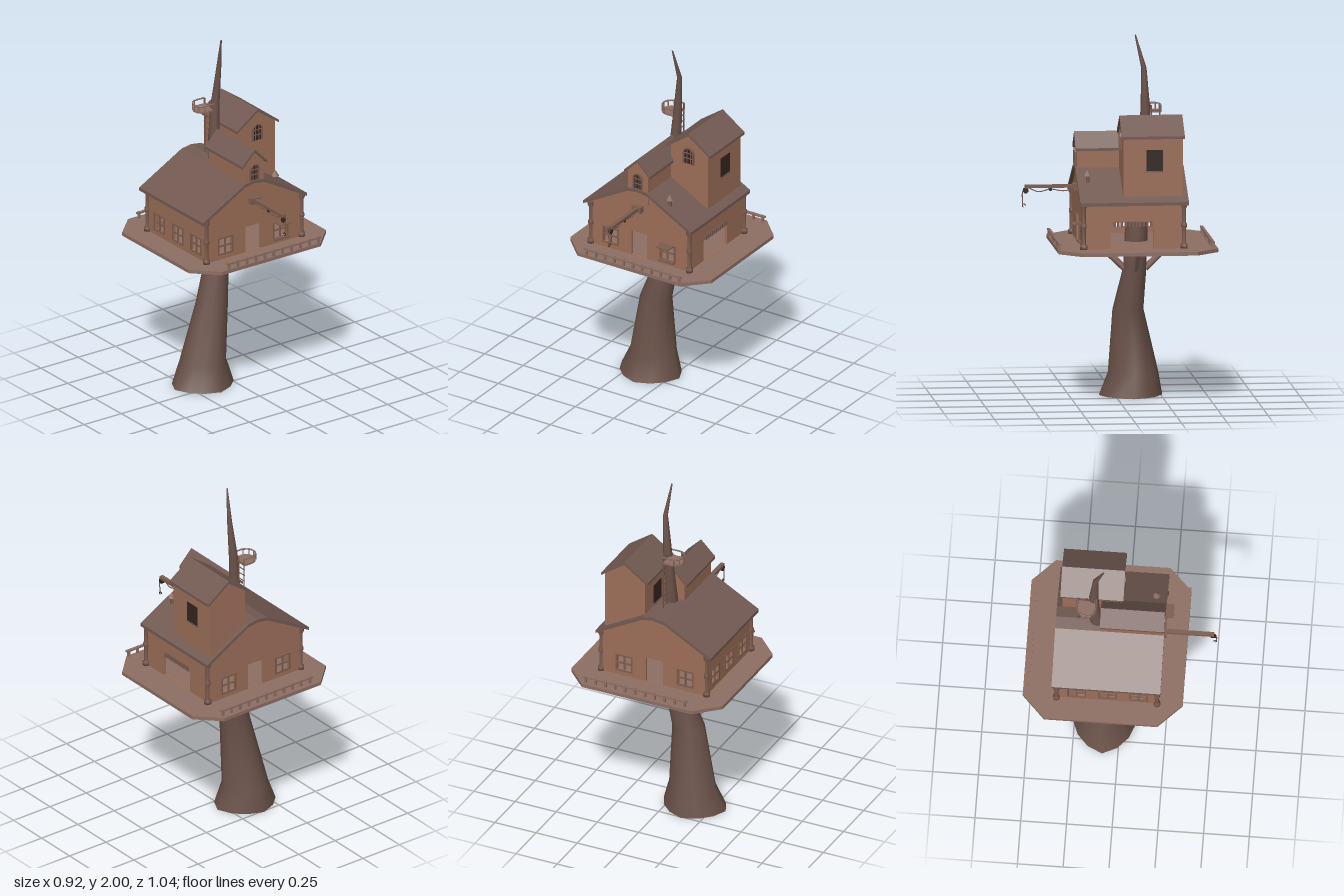
import * as THREE from 'three';
import { toCreasedNormals } from 'three/addons/utils/BufferGeometryUtils.js';

const mat = (color) => new THREE.MeshStandardMaterial({ color, side: THREE.DoubleSide });
const WALL = mat(0x9c6f58), DECK = mat(0x8d6e63), ROOF = mat(0x725a52);
const BARK = mat(0x6a5249), TRIM = mat(0x7d5c4e), DARK = mat(0x33241f);
const V = (x, y, z) => new THREE.Vector3(x, y, z);

function add(parent, name, geo, material, x = 0, y = 0, z = 0) {
  const m = new THREE.Mesh(geo, material);
  m.name = name;
  m.position.set(x, y, z);
  parent.add(m);
  return m;
}
function group(parent, name) {
  const g = new THREE.Group();
  g.name = name;
  parent.add(g);
  return g;
}
// Box given by its min and max on each axis
const box = (p, name, m, x0, x1, y0, y1, z0, z1) =>
  add(p, name, new THREE.BoxGeometry(x1 - x0, y1 - y0, z1 - z0), m, (x0 + x1) / 2, (y0 + y1) / 2, (z0 + z1) / 2);
const poly = (pts) => new THREE.Shape(pts.map((p) => new THREE.Vector2(...p)));
const rectPts = (x0, x1, y0, y1) => [[x0, y0], [x1, y0], [x1, y1], [x0, y1]];
const extrude = (shape, depth) => new THREE.ExtrudeGeometry(shape, { depth, bevelEnabled: false, curveSegments: 8 });
// Square beam or round pole between two points
function beam(p, name, m, a, b, r, sides = 4) {
  const o = add(p, name, new THREE.CylinderGeometry(r, r, a.distanceTo(b), sides), m);
  o.position.copy(a).lerp(b, 0.5);
  o.quaternion.setFromUnitVectors(V(0, 1, 0), b.clone().sub(a).normalize());
  return o;
}
// Roof slab: profile line thickened downwards, run along z
function roof(p, name, line, t, z0, z1) {
  const under = line.map(([x, y]) => [x, y - t]).reverse();
  return add(p, name, extrude(poly([...line, ...under]), z1 - z0), ROOF, 0, 0, z0);
}
// Cross-barred frame for a square opening, centred at the origin, facing z
function squareWindow(p, s) {
  const g = group(p, 'window');
  const frame = poly(rectPts(-s - 0.008, s + 0.008, -s - 0.008, s + 0.008));
  frame.holes.push(poly(rectPts(-s, s, -s, s)));
  add(g, 'windowFrame', extrude(frame, 0.012), TRIM, 0, 0, -0.006);
  box(g, 'windowBar', TRIM, -0.004, 0.004, -s, s, -0.004, 0.004);
  box(g, 'windowBar', TRIM, -s, s, -0.004, 0.004, -0.004, 0.004);
  return g;
}
const archShape = (w, h) => {
  const s = new THREE.Shape();
  s.moveTo(-w, 0).lineTo(w, 0).lineTo(w, h - w).absarc(0, h - w, w, 0, Math.PI, false).lineTo(-w, 0);
  return s;
};
function archWindow(p, x, y, z, w, h) {
  const g = group(p, 'archedWindow');
  g.position.set(x, y, z);
  const frame = archShape(w, h);
  frame.holes.push(archShape(w - 0.007, h - 0.007));
  add(g, 'archFrame', extrude(frame, 0.012), TRIM);
  add(g, 'archPane', extrude(archShape(w - 0.004, h - 0.004), 0.003), DARK);
  for (const i of [-1, 1]) box(g, 'archBar', TRIM, i * w / 3 - 0.002, i * w / 3 + 0.002, 0, h - w * 0.2, 0.002, 0.008);
  for (const k of [0.33, 0.64]) box(g, 'archBar', TRIM, -w, w, h * k - 0.002, h * k + 0.002, 0.002, 0.008);
}

// Leaning trunk: rows of [y, centre x, centre z, radius x, radius z], top to bottom
function trunkGeometry() {
  const rows = [[2, -0.007, -0.1, 0.004, 0.004], [1.82, 0.01, -0.145, 0.013, 0.015], [1.6, -0.008, -0.155, 0.024, 0.026],
    [1.42, -0.02, -0.15, 0.03, 0.032], [1.15, -0.02, -0.12, 0.045, 0.05], [0.9, -0.02, -0.105, 0.058, 0.063],
    [0.72, -0.035, -0.1, 0.065, 0.064], [0.48, -0.092, -0.068, 0.09, 0.085], [0.13, -0.13, -0.1, 0.138, 0.138], [0, -0.14, -0.087, 0.187, 0.174]];
  const n = rows.length - 1;
  const geo = new THREE.CylinderGeometry(1, 1, 1, 12, n);
  const pos = geo.attributes.position;
  for (let i = 0; i < pos.count; i++) {
    const r = Math.round((0.5 - pos.getY(i)) * n);
    const [y, cx, cz, rx, rz] = rows[r];
    const x = pos.getX(i), z = pos.getZ(i);
    const root = r > 7 ? 0.95 + 0.05 * Math.cos(4 * Math.atan2(z, x)) : 1;
    pos.setXYZ(i, cx + x * rx * root, y, cz + z * rz * root);
  }
  return toCreasedNormals(geo, 1);
}

export function createModel() {
  const model = new THREE.Group();
  add(model, 'trunk', trunkGeometry(), BARK);

  // Deck with cut corners, and its four braces
  const deck = extrude(poly([[-0.33, -0.52], [0.335, -0.52], [0.46, -0.395], [0.46, 0.23], [0.335, 0.355], [-0.33, 0.355], [-0.46, 0.225], [-0.46, -0.395]]), 0.02);
  add(model, 'deck', deck.rotateX(Math.PI / 2), DECK, 0, 0.865, 0);
  for (const [x, z] of [[1, 0], [-1, 0], [0, 1], [0, -1]])
    beam(model, 'brace', DECK, V(-0.035 + x * 0.055, 0.71, -0.1 + z * 0.055), V(-0.035 + x * 0.2, 0.85, -0.1 + z * 0.2), 0.018);

  // Low railings at front and back
  for (const z of [0.347, -0.493]) {
    const g = group(model, 'railing');
    box(g, 'handrail', DECK, -0.29, 0.34, 0.893, 0.903, z - 0.008, z + 0.008);
    for (let i = 0; i < 11; i++) {
      const x = -0.275 + i * 0.06;
      box(g, 'railPost', DECK, x - 0.006, x + 0.006, 0.865, 0.905, z - 0.006, z + 0.006);
    }
  }

  // Hollow house: gable walls with a doorway and two window openings
  const house = group(model, 'house');
  const T = 0.015, S = 0.043, WY = 0.943;
  const gable = () => {
    const s = poly([[-0.33, 0.865], [0.302, 0.865], [0.302, 1.122], [0.045, 1.265], [-0.02, 1.275], [-0.085, 1.265], [-0.33, 1.13]]);
    s.holes.push(poly(rectPts(-0.07, 0.033, 0.866, 1.015)));
    for (const x of [-0.205, 0.165]) s.holes.push(poly(rectPts(x - S, x + S, WY - S, WY + S)));
    return extrude(s, T);
  };
  for (const [z, face] of [[0.2, 0.213], [-0.34, -0.338]]) {
    add(house, 'gableWall', gable(), WALL, 0, 0, z);
    for (const x of [-0.205, 0.165]) squareWindow(house, S).position.set(x, WY, face);
  }
  // Side walls: three windows on one, a wide arched opening on the other
  const side = () => poly(rectPts(-0.34, 0.21, 0.865, 1.125));
  const rightSide = side(), leftSide = side();
  for (const z of [-0.225, -0.055, 0.115]) {
    rightSide.holes.push(poly(rectPts(z - S, z + S, WY - S, WY + S)));
    const w = squareWindow(house, S);
    w.position.set(-0.328, WY, z);
    w.rotation.y = Math.PI / 2;
  }
  const arch = new THREE.Path();
  arch.moveTo(-0.17, 0.866).lineTo(0.065, 0.866).lineTo(0.065, 0.975).quadraticCurveTo(0.06, 1.012, 0.02, 1.012);
  arch.lineTo(-0.125, 1.012).quadraticCurveTo(-0.165, 1.012, -0.17, 0.975).lineTo(-0.17, 0.866);
  leftSide.holes.push(arch);
  add(house, 'windowWall', extrude(rightSide, T).rotateY(-Math.PI / 2), WALL, -0.315, 0, 0);
  add(house, 'archWall', extrude(leftSide, T).rotateY(-Math.PI / 2), WALL, 0.302, 0, 0);
  for (let i = 0; i < 11; i++) {
    const z = -0.155 + i * 0.02;
    box(house, 'archSlat', TRIM, 0.29, 0.308, 0.987, 1.016, z - 0.006, z + 0.006);
  }
  roof(house, 'mainRoof', [[-0.37, 1.122], [-0.085, 1.28], [-0.02, 1.29], [0.045, 1.28], [0.33, 1.122]], 0.018, -0.36, 0.235);

  // Turned corner posts
  const post = new THREE.LatheGeometry([[0, 0], [0.02, 0], [0.02, 0.02], [0.011, 0.03], [0.011, 0.11], [0.016, 0.12], [0.016, 0.135], [0.011, 0.145], [0.011, 0.22], [0.018, 0.235], [0.018, 0.26]].map((p) => new THREE.Vector2(...p)), 8);
  for (const x of [-0.333, 0.307]) for (const z of [0.215, -0.335]) add(house, 'cornerPost', post, TRIM, x, 0.865, z);

  // Awning and sill on the front window
  box(house, 'awning', TRIM, 0.125, 0.205, 0.988, 0.994, 0.215, 0.272);
  box(house, 'sill', TRIM, 0.115, 0.215, 0.888, 0.897, 0.21, 0.235);

  // Dormer
  const dormer = group(model, 'dormer');
  add(dormer, 'dormerWalls', extrude(poly([[-0.085, 1.2], [0.045, 1.2], [0.045, 1.39], [-0.02, 1.455], [-0.085, 1.39]]), 0.33), WALL, 0, 0, -0.105);
  roof(dormer, 'dormerRoof', [[-0.105, 1.388], [-0.02, 1.472], [0.063, 1.388]], 0.015, -0.115, 0.235);
  archWindow(dormer, -0.02, 1.29, 0.224, 0.03, 0.095);

  // Tower
  const tower = group(model, 'tower');
  add(tower, 'towerWalls', extrude(poly([[0.045, 1.15], [0.287, 1.15], [0.287, 1.48], [0.165, 1.57], [0.045, 1.48]]), 0.325), WALL, 0, 0, -0.33);
  roof(tower, 'towerRoof', [[0.025, 1.482], [0.165, 1.582], [0.306, 1.482]], 0.015, -0.34, 0.005);
  archWindow(tower, 0.163, 1.395, -0.005, 0.034, 0.1);
  for (const x of [0.045, 0.287]) {
    box(tower, 'sideOpening', DARK, x - 0.003, x + 0.003, 1.29, 1.405, -0.22, -0.13);
    box(tower, 'openingSill', TRIM, x - 0.006, x + 0.006, 1.283, 1.29, -0.225, -0.125);
  }

  // Chimney pipe with a cone cap
  const chimney = group(model, 'chimney');
  add(chimney, 'pipe', new THREE.CylinderGeometry(0.01, 0.01, 0.09, 6), TRIM, 0.157, 1.215, 0.178);
  add(chimney, 'cap', new THREE.ConeGeometry(0.022, 0.035, 6), DECK, 0.157, 1.267, 0.178);

  // Hoist beam with pulley, slack rope and hook
  const hoist = group(model, 'hoist');
  box(hoist, 'hoistPlate', TRIM, -0.05, 0.01, 1.15, 1.185, 0.214, 0.245);
  box(hoist, 'hoistBeam', TRIM, -0.031, -0.008, 1.163, 1.18, 0.215, 0.505);
  for (const [z, r] of [[0.5, 0.016], [0.365, 0.01]])
    add(hoist, 'pulley', new THREE.CylinderGeometry(r, r, 0.014, 10).rotateZ(Math.PI / 2), DARK, -0.02, 1.165 - r, z);
  const rope = new THREE.CatmullRomCurve3([V(-0.02, 1.16, 0.225), V(-0.02, 1.145, 0.29), V(-0.02, 1.155, 0.365), V(-0.02, 1.142, 0.43), V(-0.02, 1.165, 0.495), V(-0.02, 1.145, 0.516), V(-0.02, 1.075, 0.516)]);
  add(hoist, 'rope', new THREE.TubeGeometry(rope, 36, 0.003, 5), TRIM);
  add(hoist, 'hook', new THREE.TorusGeometry(0.008, 0.003, 5, 10, 4.5).rotateY(Math.PI / 2), DARK, -0.02, 1.067, 0.51);

  // Lookout: D-shaped platform with a rail, and its ladder
  const lookout = group(model, 'lookout');
  const outline = [[-0.02, -0.24]];
  for (let i = 0; i <= 10; i++) {
    const a = -Math.PI / 2 - (i / 10) * Math.PI;
    outline.push([-0.07 + 0.052 * Math.cos(a), -0.19 + 0.052 * Math.sin(a)]);
  }
  outline.push([-0.02, -0.14]);
  add(lookout, 'platform', extrude(poly(outline), 0.01).rotateX(Math.PI / 2), DECK, 0, 1.578, 0);
  const rail = outline.map(([x, z]) => V(x, 1.61, z));
  rail.slice(1).forEach((p, i) => beam(lookout, 'lookoutRail', DECK, rail[i], p, 0.005));
  rail.filter((_, i) => i % 2 === 0).forEach((p) => beam(lookout, 'lookoutPost', DECK, V(p.x, 1.572, p.z), p, 0.004));
  const ladder = group(model, 'ladder');
  for (const z of [-0.235, -0.19]) beam(ladder, 'ladderRail', TRIM, V(-0.02, 1.26, z), V(-0.02, 1.61, z), 0.004);
  for (let y = 1.3; y < 1.6; y += 0.035) beam(ladder, 'rung', TRIM, V(-0.02, y, -0.24), V(-0.02, y, -0.185), 0.004);

  return model;
}
